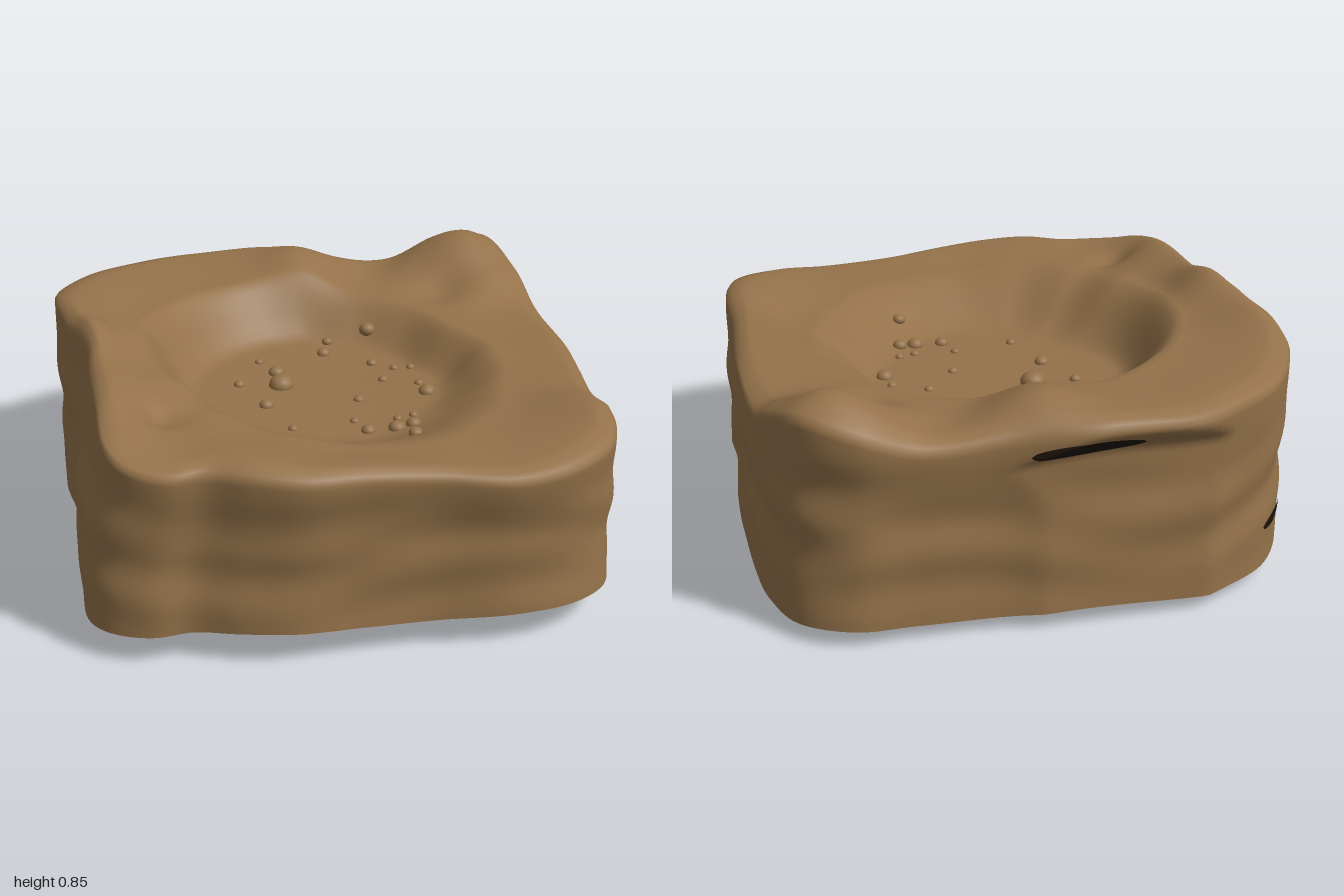
import * as THREE from 'three';

const COLS = 220;
const FLOOR = 0.52;

// Outline of the block seen from above, with the height of the rim: x, z, y
const OUTLINE = [
  [-0.43, -0.99, 0.75], [-0.12, -1.0, 0.75], [0.18, -0.93, 0.72], [0.45, -0.92, 0.71], [0.66, -0.92, 0.78],
  [0.82, -0.82, 0.82], [0.89, -0.62, 0.76], [0.91, -0.4, 0.68], [0.91, 0, 0.68], [0.89, 0.25, 0.67],
  [0.87, 0.45, 0.67], [0.87, 0.64, 0.7], [0.81, 0.83, 0.69], [0.66, 0.95, 0.67], [0.46, 0.99, 0.65],
  [0.2, 0.96, 0.67], [-0.02, 0.97, 0.69], [-0.25, 0.99, 0.7], [-0.42, 0.95, 0.71], [-0.57, 0.89, 0.71],
  [-0.7, 0.9, 0.71], [-0.83, 0.84, 0.73], [-0.89, 0.75, 0.76], [-0.9, 0.5, 0.81], [-0.9, 0.2, 0.82],
  [-0.88, 0, 0.84], [-0.89, -0.2, 0.83], [-0.91, -0.4, 0.82], [-0.89, -0.58, 0.79], [-0.76, -0.8, 0.77],
  [-0.6, -0.91, 0.76],
];
// Basin edge every 22.5 degrees, from the front round through +x
const BASIN_R = [0.74, 0.74, 0.7, 0.65, 0.61, 0.56, 0.59, 0.61, 0.66, 0.66, 0.66, 0.66, 0.64, 0.63, 0.67, 0.72];
const BASIN_Y = [0.66, 0.65, 0.64, 0.65, 0.67, 0.67, 0.68, 0.69, 0.73, 0.73, 0.74, 0.75, 0.76, 0.75, 0.71, 0.68];

// Soft mounds and dips on the rim: x, z, radius, height
const MOUNDS = [
  [0.65, -0.76, 0.14, 0.04], [0.05, -0.78, 0.16, 0.065], [-0.8, -0.02, 0.1, 0.025], [-0.68, -0.15, 0.14, 0.02],
  [0.56, -0.52, 0.09, -0.035], [-0.63, 0.53, 0.07, -0.03], [-0.4, 0.8, 0.2, 0.015],
];

const lerp = THREE.MathUtils.lerp;
const smooth = THREE.MathUtils.smoothstep;

// Smooth lookup in a table that wraps round
function around(table, angle) {
  const f = ((angle / (2 * Math.PI) + 1) % 1) * table.length;
  const i = Math.floor(f) % table.length;
  const t = f - Math.floor(f);
  return lerp(table[i], table[(i + 1) % table.length], t * t * (3 - 2 * t));
}

// Height of the hollow at radius fraction r: steep at the back, gentle at the front
function bowl(r, angle, edgeY) {
  const start = lerp(0.7, 0.5, smooth(Math.cos(angle), -0.2, 0.8));
  return lerp(FLOOR, edgeY, lerp(smooth(r, start, 1.01), r * r, 0.15));
}

// Mostly level layers, used for the weathered surface
function rough(x, y, z) {
  return 0.5 * Math.sin(19 * y + 1.6 * Math.sin(3.1 * x + 1) + 1.6 * Math.sin(3.7 * z)) +
    0.3 * Math.sin(3.7 * z - 31 * y + 2 * Math.sin(4 * x)) +
    0.3 * Math.sin(7 * x + 6 * z + 8 * y + 1.5 * Math.sin(5 * z));
}

const mounds = (x, z) => MOUNDS.reduce(
  (sum, [mx, mz, r, h]) => sum + h * Math.exp(-((x - mx) ** 2 + (z - mz) ** 2) / (r * r)), 0);

// Skins rows of points, joining the ends of each row when closed
function skin(rows, closed = true) {
  const n = rows[0].length;
  const index = [];
  for (let i = 0; i < rows.length - 1; i++) {
    for (let j = 0; j < (closed ? n : n - 1); j++) {
      const a = i * n + j, b = i * n + ((j + 1) % n);
      index.push(a, a + n, b, b, a + n, b + n);
    }
  }
  const geo = new THREE.BufferGeometry().setFromPoints(rows.flat());
  geo.setIndex(index);
  geo.computeVertexNormals();
  return geo;
}

const baseY = (p) => 0.062 + 0.06 * Math.max(p.z, 0) + 0.006 * Math.sin(7 * p.x + 4 * p.z);

// Wall point above outline point p at height fraction h; front and back rims overhang
function wall(p, h) {
  const y = lerp(baseY(p), p.y - 0.035, h);
  const lean = p.x > 0 ? 0.015 * h : 0.08 * smooth(h, 0.2, 1) * smooth(p.z, -0.15, 0.15);
  let z = p.z * lerp(0.957, 1, smooth(h, 0.55, 1));
  z = Math.max(z, lerp(-0.92, -1, smooth(h, 0.84, 1)));
  const k = 1 + 0.011 * rough(p.x, y, p.z) * Math.sin(Math.PI * Math.min(1, h * 0.9 + 0.1));
  return new THREE.Vector3(p.x * (1 - lean) * k, y, z * k);
}

export function createModel() {
  const earth = new THREE.MeshStandardMaterial({ color: 0x94724a });
  earth.name = 'earth brown';
  const dark = new THREE.MeshStandardMaterial({ color: 0x1e150a });
  dark.name = 'dark soil';
  const group = new THREE.Group();
  group.name = 'stoneBasin';
  const add = (name, geo, material) => {
    const mesh = new THREE.Mesh(geo, material);
    mesh.name = name;
    group.add(mesh);
  };

  const curve = new THREE.CatmullRomCurve3(OUTLINE.map(([x, z, y]) => new THREE.Vector3(x, y, z)), true);
  const edge = curve.getSpacedPoints(COLS).slice(0, COLS);

  // Underside, bulging gently downwards
  const under = [];
  for (let i = 0; i <= 12; i++) {
    const t = i / 12;
    under.push(edge.map((p) => {
      const w = wall(p, 0);
      const bump = 0.005 * (1 + rough(w.x * t, 0, w.z * t)) * (1 - t);
      return new THREE.Vector3(w.x * t, lerp(0.003, w.y, t ** 2.2) + bump, w.z * t);
    }));
  }
  add('underside', skin(under), dark);

  // Body: walls, rounded rim, then the hollow
  const rings = [];
  for (let i = 0; i <= 34; i++) rings.push(edge.map((p) => wall(p, i / 34)));
  const basinEdge = (p) => {
    const a = Math.atan2(p.x, p.z);
    const r = around(BASIN_R, a);
    return new THREE.Vector3(r * Math.sin(a), around(BASIN_Y, a), r * Math.cos(a));
  };
  const RIM = 16;
  for (let i = 0; i <= RIM; i++) {
    const t = i / RIM;
    rings.push(edge.map((p) => {
      const q = wall(p, 1).lerp(basinEdge(p), 0.03 + 0.97 * t);
      const top = lerp(p.y, basinEdge(p).y, smooth(t, 0.1, 1));
      q.y = top - 0.018 * (1 - smooth(t, 0, 0.15)) + mounds(q.x, q.z) * smooth(t, -0.2, 0.3) +
        0.006 * rough(q.x, 0, q.z);
      return q;
    }));
  }
  const brim = rings[rings.length - 1];
  for (let i = 1; i <= 30; i++) {
    const r = 1 - i / 30;
    rings.push(brim.map((p) => {
      const x = p.x * r, z = p.z * r;
      const y = bowl(r, Math.atan2(p.x, p.z), p.y) + 0.003 * rough(x, 0, z) * r;
      return new THREE.Vector3(x, y, z);
    }));
  }
  add('body', skin(rings), earth);

  // Dark hollows lying on the wall: outline start, end, height fraction, half height
  const HOLLOWS = [['lipHollow', 0.025, 0.08, 0.92, 0.045], ['cornerHollow', 0.911, 0.948, 0.23, 0.035]];
  for (const [name, from, to, mid, half] of HOLLOWS) {
    const rows = [];
    for (let i = 0; i <= 6; i++) {
      const row = [];
      for (let j = 0; j <= 24; j++) {
        const s = (j / 24) * 2 - 1;
        const h = mid + half * (i / 3 - 1) * Math.sqrt(1 - s * s);
        const q = wall(curve.getPointAt(lerp(from, to, j / 24)), h);
        q.x *= 1.004;
        q.z *= 1.004;
        q.y -= 0.002;
        row.push(q);
      }
      rows.push(row);
    }
    add(name, skin(rows, false), dark);
  }

  // Pebbles on the basin floor: x, z, radius
  const pebbles = [
    [-0.13, -0.11, 0.045], [-0.13, -0.22, 0.03], [0.07, -0.36, 0.025], [0.25, -0.43, 0.03], [0.1, -0.45, 0.02],
    [0.37, 0.05, 0.03], [0.1, 0.33, 0.025], [0.2, 0.33, 0.03], [0.26, 0.32, 0.026], [0.23, 0.48, 0.024],
    [-0.21, 0.06, 0.026], [-0.28, -0.13, 0.02], [0.23, -0.24, 0.02], [0.36, -0.03, 0.017], [0.24, -0.09, 0.018],
    [0.12, 0.06, 0.018], [-0.15, 0.27, 0.018], [0.3, -0.18, 0.016], [0.07, 0.24, 0.016], [0.22, 0.25, 0.016],
    [0.28, 0.23, 0.016], [0.36, -0.17, 0.016], [-0.18, -0.32, 0.015],
  ];
  const ball = new THREE.SphereGeometry(1, 14, 10);
  const floorPebbles = new THREE.Group();
  floorPebbles.name = 'floorPebbles';
  for (const [x, z, r] of pebbles) {
    const pebble = new THREE.Mesh(ball, earth);
    pebble.name = 'pebble';
    const a = Math.atan2(x, z);
    const y = bowl(Math.hypot(x, z) / around(BASIN_R, a), a, around(BASIN_Y, a));
    pebble.position.set(x, y + r * 0.1, z);
    pebble.scale.set(r, r * 0.85, r);
    floorPebbles.add(pebble);
  }
  group.add(floorPebbles);
  return group;
}
